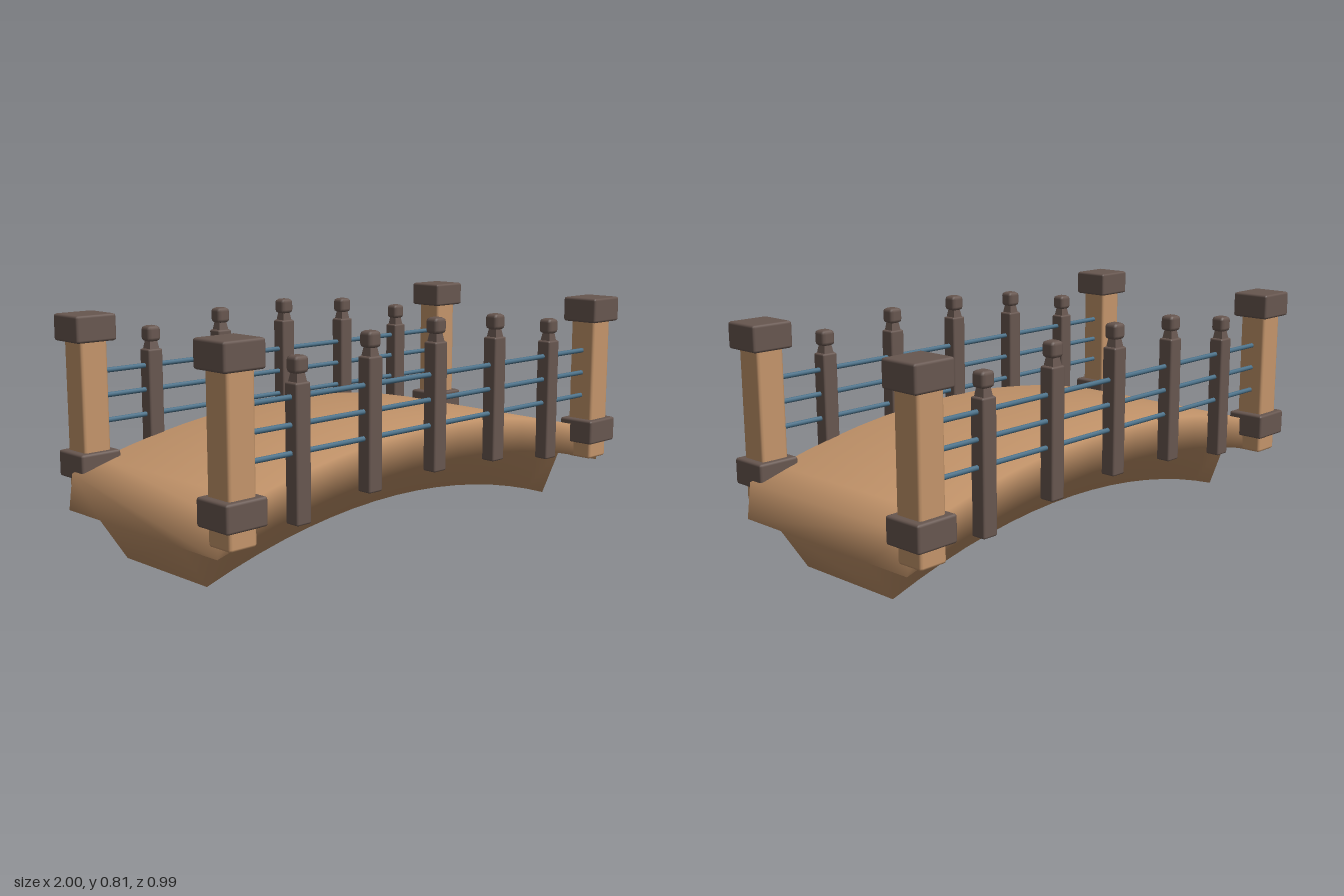
import * as THREE from 'three';
import { RoundedBoxGeometry } from 'three/addons/geometries/RoundedBoxGeometry.js';

const wood = new THREE.MeshStandardMaterial({ color: 0xc3946a, name: 'lightWood' });
const dark = new THREE.MeshStandardMaterial({ color: 0x67564f, name: 'darkWood' });
const rope = new THREE.MeshStandardMaterial({ color: 0x4a7088, name: 'blueRail' });

function add(parent, name, geometry, material, x, y, z) {
  const mesh = new THREE.Mesh(geometry, material);
  mesh.name = name;
  mesh.position.set(x, y, z);
  parent.add(mesh);
  return mesh;
}

const block = (w, h, d, r) => new RoundedBoxGeometry(w, h, d, 1, r);

// Arched deck: a T-shaped cross-section swept along x, with softly shared normals
function deckGeometry() {
  // each entry: z, height at mid-span, half length at that level
  const section = [
    [-0.4, 0.42, 0.945], [0.4, 0.42, 0.945], [0.4, 0.295, 0.962], [0.215, 0.295, 0.962],
    [0.215, 0.145, 0.86], [-0.215, 0.145, 0.86], [-0.215, 0.295, 0.962], [-0.4, 0.295, 0.962],
  ];
  const n = section.length, steps = 16;
  const positions = [], index = [];
  for (let i = 0; i <= steps; i++) {
    const t = (i / steps) * 2 - 1;
    for (const [z, y, half] of section) positions.push(t * half, y - 0.142 * t * t, z);
  }
  for (let i = 0; i < steps; i++) {
    for (let j = 0; j < n; j++) {
      const a = i * n + j, b = i * n + ((j + 1) % n);
      index.push(a, b, a + n, b, b + n, a + n);
    }
  }
  // end faces
  const last = steps * n;
  for (const [a, b, c] of [[0, 1, 2], [0, 2, 3], [0, 3, 6], [0, 6, 7], [3, 4, 5], [3, 5, 6]]) {
    index.push(last + a, last + b, last + c, a, c, b);
  }
  const g = new THREE.BufferGeometry();
  g.setAttribute('position', new THREE.Float32BufferAttribute(positions, 3));
  g.setIndex(index);
  g.computeVertexNormals();
  return g;
}

// Corner pillar with a cap and a lower collar
function pillar(x) {
  const g = new THREE.Group();
  g.name = 'cornerPillar';
  add(g, 'pillarColumn', block(0.104, 0.55, 0.104, 0.01), wood, 0, 0.465, 0);
  add(g, 'pillarCap', block(0.156, 0.092, 0.146, 0.009), dark, 0, 0.766, 0);
  add(g, 'pillarCollar', block(0.156, 0.092, 0.146, 0.009), dark, 0, 0.298, 0);
  g.position.x = x;
  return g;
}

// Baluster with a tapered neck and a knob; its base follows the arch
function baluster(x) {
  const g = new THREE.Group();
  g.name = 'baluster';
  add(g, 'balusterPost', block(0.06, 0.445, 0.056, 0.007), dark, 0, 0.2225, 0);
  const neck = new THREE.CylinderGeometry(0.019, 0.03, 0.045, 4).rotateY(Math.PI / 4).toNonIndexed();
  neck.computeVertexNormals();
  add(g, 'balusterNeck', neck, dark, 0, 0.462, 0);
  add(g, 'balusterKnob', block(0.054, 0.056, 0.054, 0.014), dark, 0, 0.498, 0);
  g.position.set(x, 0.276 - 0.14 * (x / 0.96) ** 2, 0);
  return g;
}

// One complete railing
function railing(name) {
  const g = new THREE.Group();
  g.name = name;
  for (const x of [-0.9215, 0.857]) g.add(pillar(x));
  for (let i = 0; i < 5; i++) g.add(baluster(-0.66 + i * 0.3125));
  for (const y of [0.436, 0.524, 0.61]) {
    const rail = new THREE.CylinderGeometry(0.009, 0.009, 1.72, 8).rotateZ(Math.PI / 2);
    add(g, 'rail', rail, rope, -0.032, y, 0);
  }
  return g;
}

export function createModel() {
  const model = new THREE.Group();
  model.name = 'archedFootbridge';
  add(model, 'deck', deckGeometry(), wood, 0, 0, 0);

  // the back railing is the front one turned half round
  const front = railing('frontRailing');
  front.position.z = 0.424;
  const back = railing('backRailing');
  back.rotation.y = Math.PI;
  back.position.z = -0.424;
  model.add(front, back);
  return model;
}
